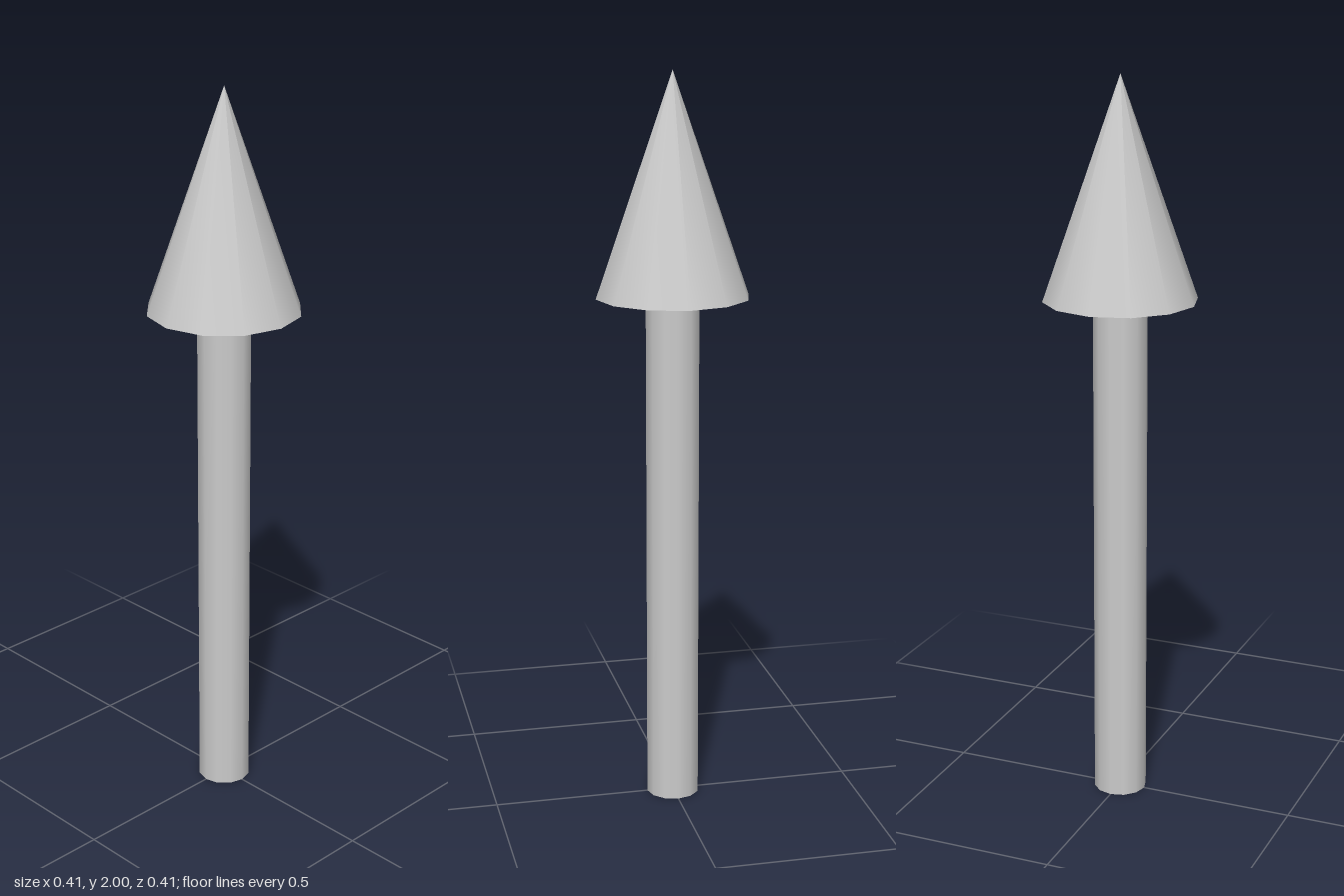
import * as THREE from 'three';

const SIDES = 12;
const HEAD_BASE = 1.41;
const TOP = 2;

export function createModel() {
  const group = new THREE.Group();
  group.name = 'arrow';
  const material = new THREE.MeshStandardMaterial({ color: 0xcccccc });

  // Adds a smooth-sided round part standing between two heights
  function addPart(name, topRadius, bottomRadius, bottom, top) {
    const geometry = new THREE.CylinderGeometry(topRadius, bottomRadius, top - bottom, SIDES);
    const mesh = new THREE.Mesh(geometry, material);
    mesh.name = name;
    mesh.position.y = (bottom + top) / 2;
    group.add(mesh);
  }

  // Straight shaft, capped at the foot
  addPart('shaft', 0.073, 0.073, 0, HEAD_BASE);
  // Pointed head with a flat underside
  addPart('head', 0, 0.207, HEAD_BASE, TOP);

  return group;
}
